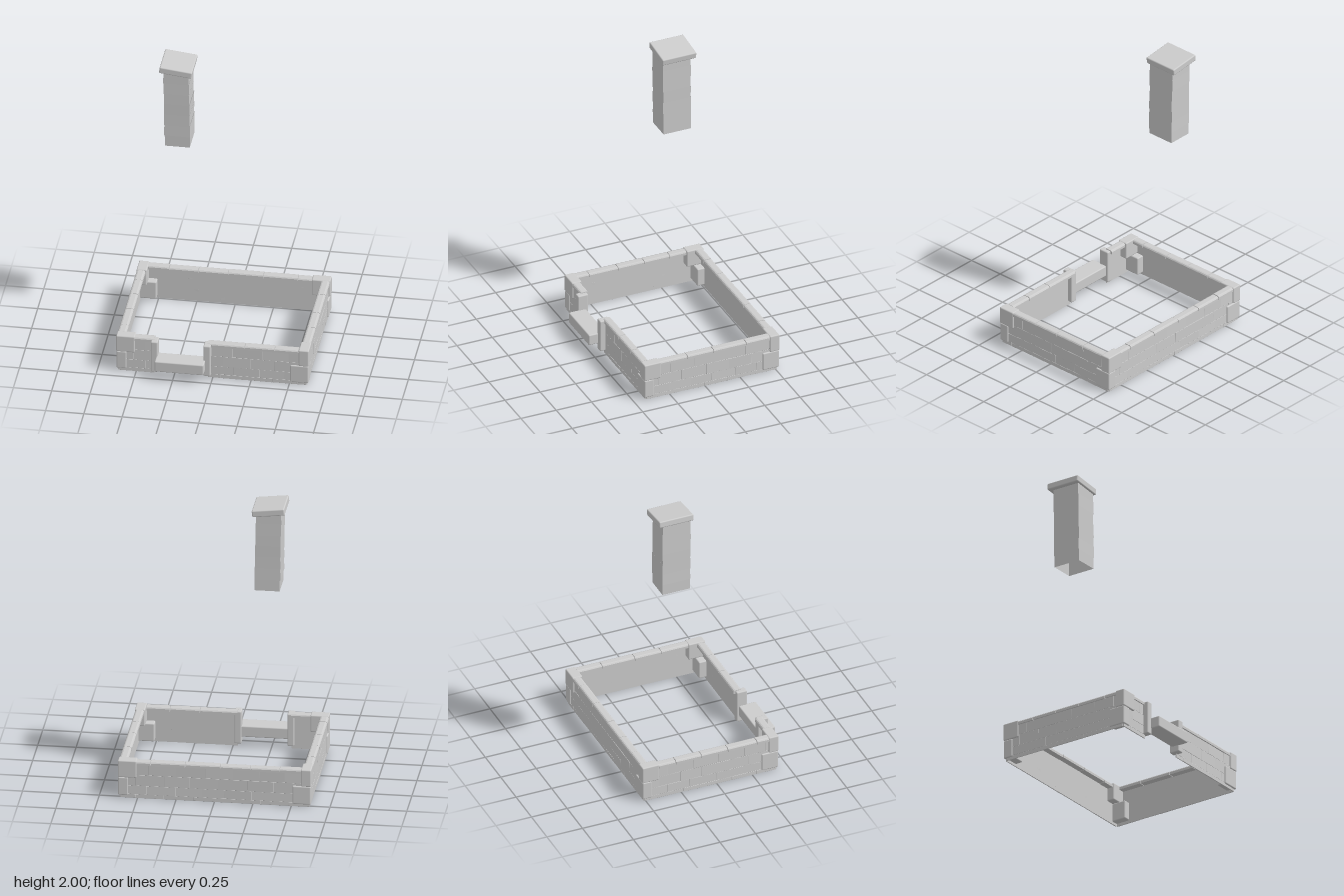
import * as THREE from 'three';
import { RoundedBoxGeometry } from 'three/addons/geometries/RoundedBoxGeometry.js';

// Double sided because the chimney courses are open shells
const stone = new THREE.MeshStandardMaterial({ color: 0xcccccc, side: THREE.DoubleSide });
stone.name = 'light grey stone';

// Small seeded generator for hand-laid irregularity, -1..1
let seed = 7;
const jitter = () => {
  seed = (seed * 16807) % 2147483647;
  return (seed / 2147483647) * 2 - 1;
};

// Soft-edged stone given by its extents
function block(name, x0, x1, y0, y1, z0, z1, r = 0.008) {
  const geo = new RoundedBoxGeometry(x1 - x0, y1 - y0, z1 - z0, 2, r);
  const mesh = new THREE.Mesh(geo, stone);
  mesh.position.set((x0 + x1) / 2, (y0 + y1) / 2, (z0 + z1) / 2);
  mesh.name = name;
  return mesh;
}

// Thin brick courses and backing panel from u = a to b, outward is +z, outer limit at z = out
function wallFace(group, a, b, out) {
  const panel = new THREE.Mesh(new THREE.BoxGeometry(b - a, 0.235, 0.004), stone);
  panel.position.set((a + b) / 2, 0.1225, out - 0.014);
  panel.name = 'wallPanel';
  group.add(panel);
  const levels = [0.004, 0.03, 0.09, 0.165, 0.242];
  for (let row = 0; row < 4; row++) {
    let u = a;
    let next = a + (row % 2 ? 0.17 : 0.09) + 0.015 * jitter();
    while (u < b - 0.001) {
      if (b - next < 0.05) next = b;
      const brick = block('brick', u, next, levels[row], levels[row + 1], out - 0.015, out - 0.009 + 0.001 * jitter(), 0.0012);
      brick.rotation.x = row ? 0.02 * jitter() : 0;
      brick.rotation.y = 0.01 * jitter();
      group.add(brick);
      u = next;
      next = u + 0.17 + 0.03 * jitter();
    }
  }
}

// Row of coping stones with chamfered tops between successive seams
function coping(group, seams, out) {
  const profile = new THREE.Shape([
    [0.001, 0.236], [0.058, 0.236], [0.058, 0.252], [0.053, 0.259], [0.045, 0.262],
    [0.014, 0.262], [0.006, 0.259], [0.001, 0.252],
  ].map(([inward, y]) => new THREE.Vector2(inward - out, y)));
  for (let i = 0; i < seams.length - 1; i++) {
    const geo = new THREE.ExtrudeGeometry(profile, { depth: seams[i + 1] - seams[i] - 0.004, bevelEnabled: false });
    geo.rotateY(Math.PI / 2);
    const cap = new THREE.Mesh(geo, stone);
    cap.position.set(seams[i] + 0.002, 0.0015 * jitter(), 0);
    cap.name = 'copingStone';
    group.add(cap);
  }
}

function createWalls() {
  const walls = new THREE.Group();
  walls.name = 'walls';
  // turn, outer distance, brick spans and coping seams in each wall's own direction
  const sides = [
    ['frontWall', 0, 0.43, [[-0.615, -0.38], [-0.03, 0.61]], [[-0.515, -0.38], [-0.035, 0.21, 0.405, 0.56]]],
    ['leftWall', Math.PI / 2, 0.625, [[-0.415, 0.505]], [[-0.32, -0.125, 0.06, 0.29, 0.46]]],
    ['backWall', Math.PI, 0.522, [[-0.61, 0.615]], [[-0.51, -0.415, -0.19, 0.04, 0.235, 0.425, 0.57]]],
    ['rightWall', -Math.PI / 2, 0.63, [[-0.505, 0.415]], [[-0.41, -0.29, -0.11, 0.075, 0.28, 0.37]]],
  ];
  for (const [name, turn, out, spans, caps] of sides) {
    const side = new THREE.Group();
    side.name = name;
    side.rotation.y = turn;
    spans.forEach(([a, b]) => wallFace(side, a, b, out));
    caps.forEach((seams) => coping(side, seams, out));
    walls.add(side);
  }
  return walls;
}

// Corner stones: an upper and a lower block whose long sides alternate
function createCorners() {
  const corners = new THREE.Group();
  corners.name = 'cornerStones';
  const list = [[-0.63, 0.432, true], [0.628, 0.432, false], [-0.63, -0.525, false], [0.628, -0.525, true]];
  for (const [x, z, upperLongX] of list) {
    for (const upper of [true, false]) {
      const longX = upper === upperLongX;
      const inset = upper ? 0 : 0.002;
      const w = longX ? 0.122 : 0.067;
      const d = longX ? 0.069 : 0.118;
      const sx = Math.sign(x), sz = Math.sign(z);
      const xa = x - sx * inset, xb = x - sx * w;
      const za = z - sz * inset, zb = z - sz * d;
      corners.add(block(upper ? 'upperCornerStone' : 'lowerCornerStone',
        Math.min(xa, xb), Math.max(xa, xb), upper ? 0.147 : 0.022, upper ? 0.265 : 0.148,
        Math.min(za, zb), Math.max(za, zb)));
    }
  }
  return corners;
}

// Window opening: two upright stones and a projecting sill
function createWindow() {
  const frame = new THREE.Group();
  frame.name = 'windowFrame';
  frame.add(
    block('rightJamb', -0.4, -0.355, 0.03, 0.255, 0.385, 0.458),
    block('leftJamb', -0.057, -0.01, 0.03, 0.255, 0.385, 0.458),
    block('sill', -0.365, -0.045, 0.072, 0.148, 0.4, 0.522),
  );
  return frame;
}

// Hollow chimney stack of slightly flared open courses under a tilted slab
function createChimney() {
  const chimney = new THREE.Group();
  chimney.name = 'chimney';
  const courses = 7;
  const height = 0.545 / courses;
  for (let i = 0; i < courses; i++) {
    const flare = 1 + 0.012 * jitter();
    const tube = new THREE.CylinderGeometry(Math.SQRT2, Math.SQRT2 * flare, height + 0.004, 4, 1, true, Math.PI / 4);
    tube.scale(0.083 + 0.001 * jitter(), 1, 0.098 + 0.001 * jitter());
    const geo = tube.toNonIndexed();
    geo.computeVertexNormals();
    const course = new THREE.Mesh(geo, stone);
    course.position.set(-0.313 - 0.0015 * i, 1.409 + (i + 0.5) * height, -0.188);
    course.rotation.z = i ? -0.015 + 0.008 * jitter() : 0;
    course.name = 'chimneyCourse';
    chimney.add(course);
  }
  const slab = block('chimneySlab', -0.43, -0.217, 1.943, 1.988, -0.319, -0.078);
  slab.position.y = 1.966;
  slab.rotation.z = -0.115;
  chimney.add(slab);
  return chimney;
}

export function createModel() {
  seed = 7;
  const model = new THREE.Group();
  model.name = 'stoneHouseParts';
  model.add(createWalls(), createCorners(), createWindow(), createChimney());
  return model;
}
